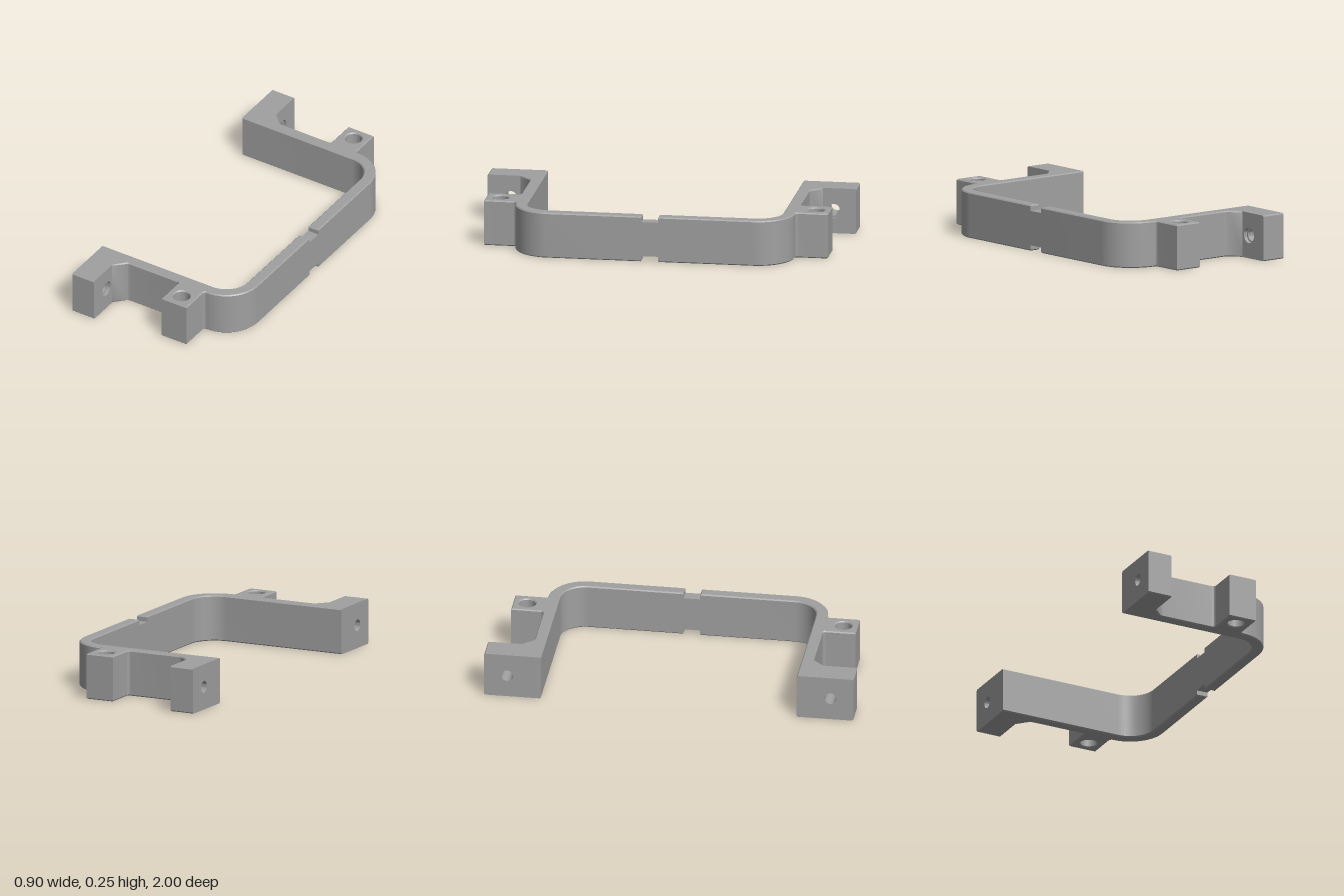
import * as THREE from 'three';
import { toCreasedNormals } from 'three/addons/utils/BufferGeometryUtils.js';

const H = 0.248;       // bracket height
const C = 0.006;       // edge chamfer
const INNER = 0.693;   // inner face of the arms
const OUTER = 0.757;   // outer face of the arms
const NOTCH = 0.045;   // half width of the middle notch

const circle = (x, y, r) => new THREE.Path().absarc(x, y, r, 0, Math.PI * 2, true);

// Half of the U strap with its corner, arm and screw boss (plan outline)
function strapGeometry() {
  const s = new THREE.Shape();
  s.moveTo(0.447, NOTCH);
  s.lineTo(0.447, 0.557);
  s.absarc(0.247, 0.557, 0.2, 0, Math.PI / 2, false);
  // boss with small root fillets
  s.quadraticCurveTo(0.2325, OUTER, 0.2325, 0.772);
  s.lineTo(0.2325, 0.933);
  s.lineTo(0.0725, 0.933);
  s.lineTo(0.0725, 0.772);
  s.quadraticCurveTo(0.0725, OUTER, 0.0575, OUTER);
  // arm and sloped root of the foot
  s.lineTo(-0.235, OUTER);
  s.quadraticCurveTo(-0.25, OUTER, -0.26, 0.767);
  s.lineTo(-0.3185, 0.826);
  s.lineTo(-0.3185, INNER);
  s.lineTo(0.247, INNER);
  s.absarc(0.247, 0.557, 0.136, Math.PI / 2, 0, true);
  s.lineTo(0.383, NOTCH);
  s.holes.push(circle(0.1525, 0.856, 0.045));
  const g = new THREE.ExtrudeGeometry(s, {
    depth: H - 2 * C, curveSegments: 20, bevelEnabled: true,
    bevelThickness: C, bevelSize: C, bevelOffset: -C, bevelSegments: 1,
  });
  g.translate(0, 0, C - H / 2);
  g.rotateX(-Math.PI / 2);
  return toCreasedNormals(g, 0.5);
}

// Slice of the foot block with a cross hole running along x
function footGeometry(x0, x1, holeRadius) {
  const h = H / 2;
  const s = new THREE.Shape([
    [INNER + C, -h], [1 - C, -h], [1, C - h], [1, h - C],
    [1 - C, h], [INNER + C, h], [INNER, h - C], [INNER, C - h],
  ].map(([a, b]) => new THREE.Vector2(a, b)));
  s.holes.push(circle(0.876, 0, holeRadius));
  const g = new THREE.ExtrudeGeometry(s, { depth: x1 - x0, curveSegments: 16, bevelEnabled: false });
  g.rotateY(Math.PI / 2);
  g.translate(x0, 0, 0);
  return toCreasedNormals(g, 0.5);
}

export function createModel() {
  const grey = new THREE.MeshStandardMaterial({ color: 0xa0a0a0 });
  grey.name = 'grey';
  const model = new THREE.Group();
  model.name = 'bracket';
  const add = (parent, name, geometry) => {
    const mesh = new THREE.Mesh(geometry, grey);
    mesh.name = name;
    parent.add(mesh);
    return mesh;
  };

  const strap = strapGeometry();
  const foot = footGeometry(-0.45, -0.3325, 0.032);
  const footRecess = footGeometry(-0.3325, -0.3125, 0.042);

  // The front half is the back half turned over about the x axis
  for (const [name, angle] of [['backHalf', 0], ['frontHalf', Math.PI]]) {
    const half = new THREE.Group();
    half.name = name;
    half.position.y = H / 2;
    half.rotation.x = angle;
    add(half, 'strapAndBoss', strap);
    add(half, 'foot', foot);
    add(half, 'footRecess', footRecess);
    model.add(half);
  }

  // Lower web left between the top and bottom notches
  const web = add(model, 'notchWeb', new THREE.BoxGeometry(0.064, H - 0.06, 2 * NOTCH));
  web.position.set(0.415, H / 2, 0);
  return model;
}
